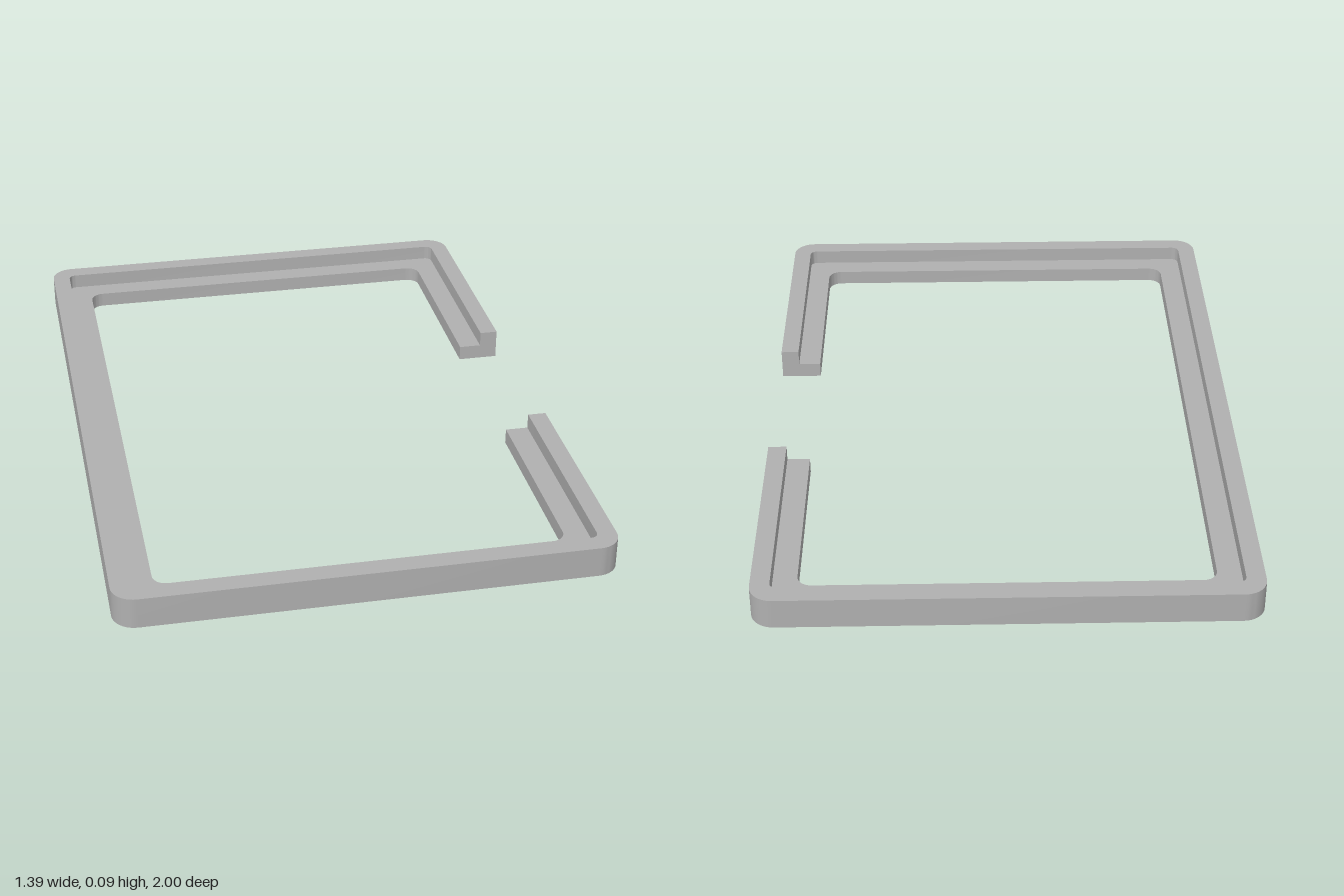
import * as THREE from 'three';
import { toCreasedNormals } from 'three/addons/utils/BufferGeometryUtils.js';

const HALF_GAP = 0.27;
const STEPS = 10; // segments per rounded corner

// Corners of the stepped L section: half width, half depth, corner radius, height
const SECTION = [
  [0.695, 1.0, 0.065, 0],
  [0.695, 1.0, 0.065, 0.09],
  [0.641, 0.946, 0.022, 0.09],
  [0.641, 0.946, 0.022, 0.045],
  [0.574, 0.878, 0.04, 0.045],
  [0.574, 0.878, 0.04, 0],
];

// Rounded rectangular path, open in the middle of the +x side
function openLoop([w, d, r, y]) {
  const points = [[w, y, -HALF_GAP]];
  const corners = [[1, -1], [-1, -1], [-1, 1], [1, 1]];
  corners.forEach(([sx, sz], k) => {
    for (let i = 0; i <= STEPS; i++) {
      const a = (k + i / STEPS) * Math.PI / 2;
      points.push([sx * (w - r) + r * Math.cos(a), y, sz * (d - r) - r * Math.sin(a)]);
    }
  });
  points.push([w, y, HALF_GAP]);
  return points;
}

function frameGeometry() {
  const loops = SECTION.map(openLoop);
  const last = loops[0].length - 1;
  const positions = [];
  const tri = (a, b, c) => positions.push(...a, ...b, ...c);

  // Long faces between neighbouring section corners
  loops.forEach((p, j) => {
    const q = loops[(j + 1) % loops.length];
    for (let i = 0; i < last; i++) {
      tri(p[i], p[i + 1], q[i + 1]);
      tri(p[i], q[i + 1], q[i]);
    }
  });

  // L-shaped caps on both sides of the gap
  for (const [a, b, c] of [[0, 1, 2], [0, 2, 3], [0, 3, 5], [3, 4, 5]]) {
    tri(loops[a][0], loops[b][0], loops[c][0]);
    tri(loops[c][last], loops[b][last], loops[a][last]);
  }

  const geometry = new THREE.BufferGeometry();
  geometry.setAttribute('position', new THREE.Float32BufferAttribute(positions, 3));
  return toCreasedNormals(geometry, Math.PI / 6);
}

export function createModel() {
  const grey = new THREE.MeshStandardMaterial({ color: 0xb0b0b0 });
  grey.name = 'grey';
  const frame = new THREE.Mesh(frameGeometry(), grey);
  frame.name = 'rebatedFrame';
  const model = new THREE.Group();
  model.name = 'openFrame';
  model.add(frame);
  return model;
}
